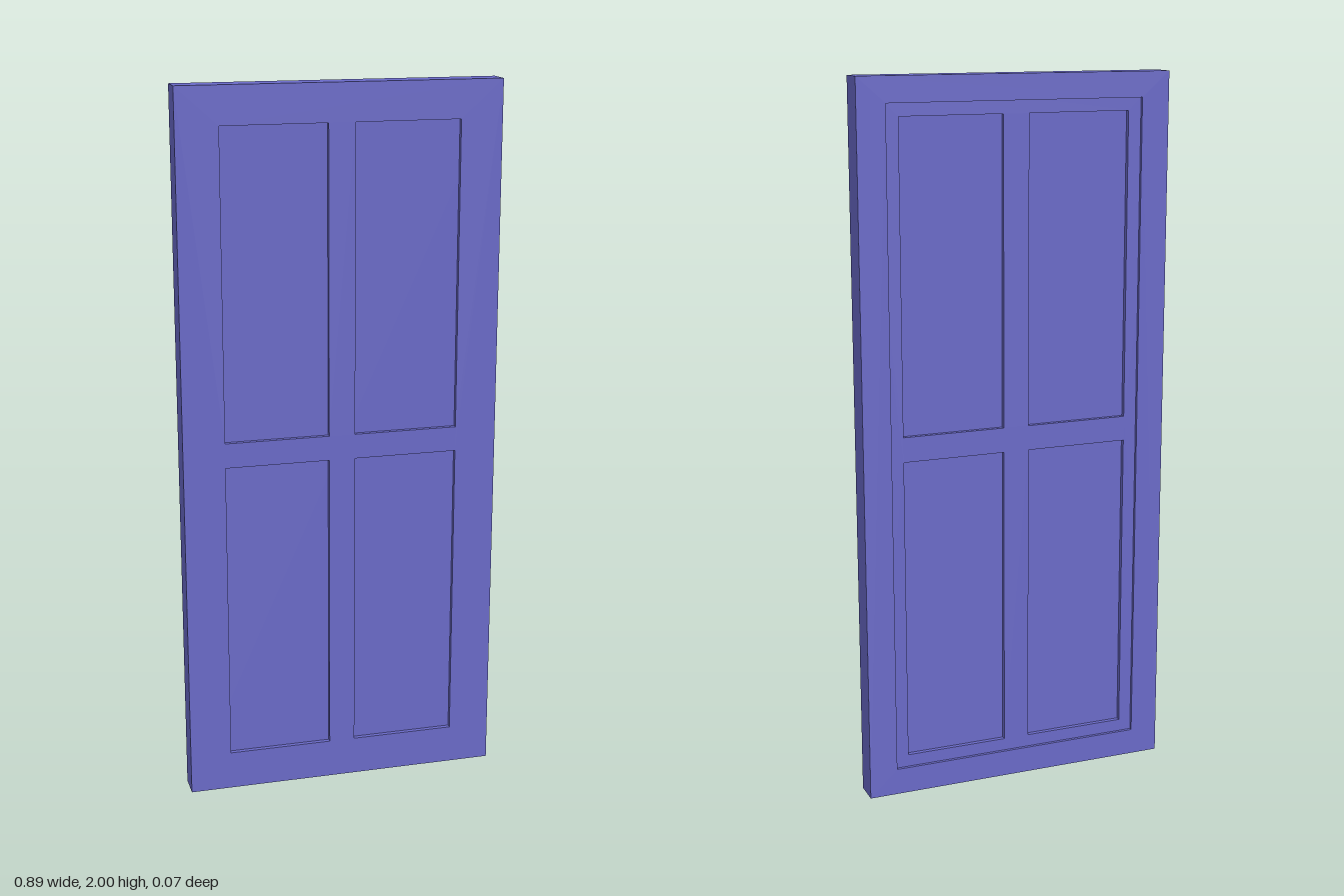
import * as THREE from 'three';

const W = 0.894, H = 2, HALF_T = 0.037;
const PANEL_DEPTH = 0.013, BACK_STEP = 0.009;

function rect(Type, x0, y0, x1, y1) {
  const p = new Type();
  p.moveTo(x0, y0);
  p.lineTo(x1, y0);
  p.lineTo(x1, y1);
  p.lineTo(x0, y1);
  p.closePath();
  return p;
}

// The four panel openings, mirrored left and right
function panelHoles() {
  const holes = [];
  for (const [y0, y1] of [[0.11, 0.968], [1.038, 1.895]]) {
    holes.push(rect(THREE.Path, 0.037, y0, 0.33, y1));
    holes.push(rect(THREE.Path, -0.33, y0, -0.037, y1));
  }
  return holes;
}

export function createModel() {
  const door = new THREE.Group();
  door.name = 'door';
  const paint = new THREE.MeshStandardMaterial({ color: 0x6a6ac8 });
  paint.name = 'blue violet paint';

  // One slab layer between two depths, with cut-outs
  function layer(name, outline, holes, z0, z1) {
    outline.holes.push(...holes);
    const geometry = new THREE.ExtrudeGeometry(outline, { depth: z1 - z0, bevelEnabled: false });
    geometry.translate(0, 0, z0);
    const mesh = new THREE.Mesh(geometry, paint);
    mesh.name = name;
    door.add(mesh);
  }

  const slab = () => rect(THREE.Shape, -W / 2, 0, W / 2, H);
  const inset = (Type) => rect(Type, -0.367, 0.075, 0.367, 1.93);
  const zStep = -HALF_T + BACK_STEP;
  const zCoreBack = zStep + PANEL_DEPTH;
  const zCoreFront = HALF_T - PANEL_DEPTH;

  // Front frame with four sunken panels
  layer('frontFrame', slab(), panelHoles(), zCoreFront, HALF_T);
  // Solid core forms the panel floors
  layer('core', slab(), [], zCoreBack, zCoreFront);
  // Back panels sit inside a shallow stepped field
  layer('backPanelFrame', slab(), panelHoles(), zStep, zCoreBack);
  layer('backRim', slab(), [inset(THREE.Path)], -HALF_T, zStep);

  return door;
}
